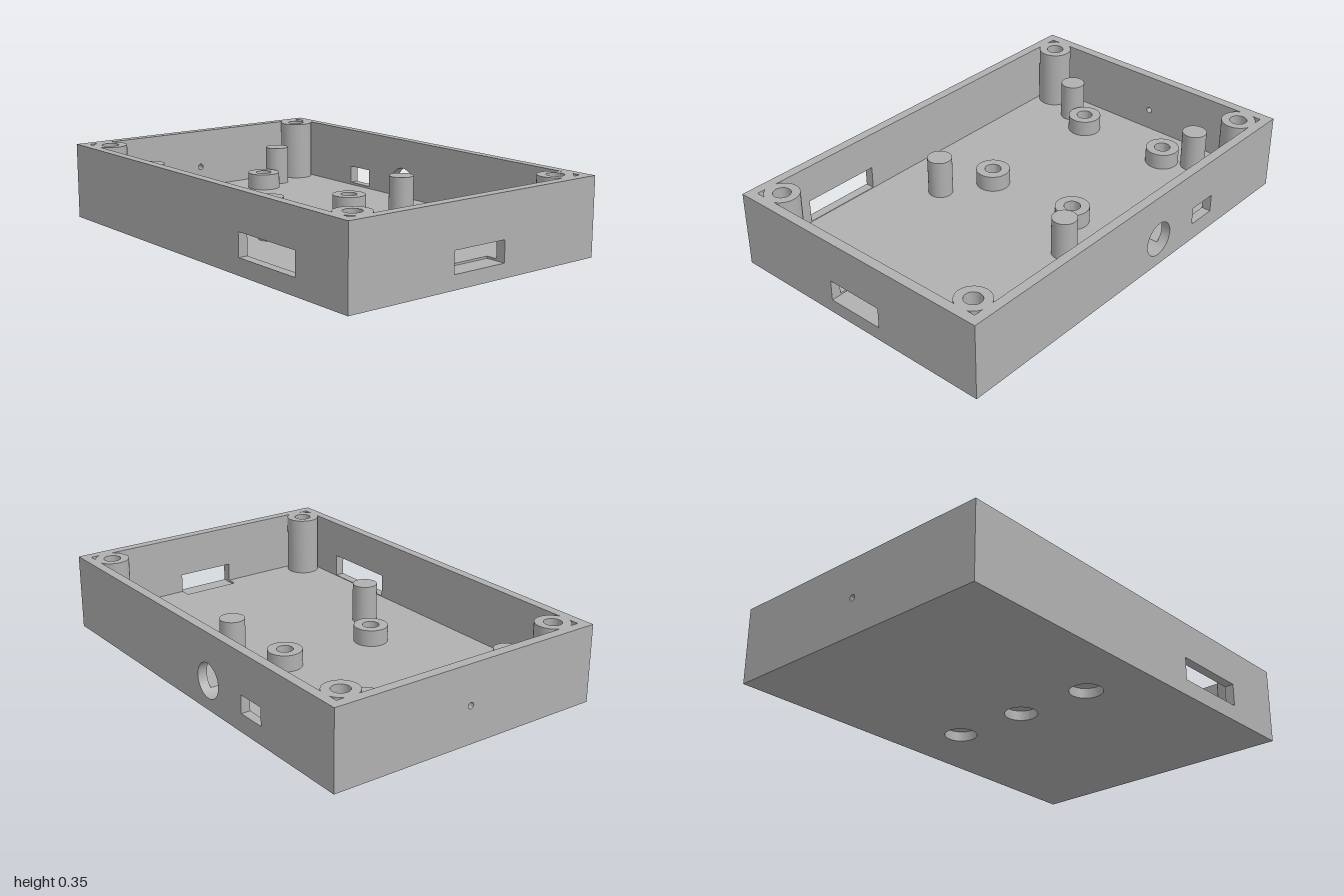
import * as THREE from 'three';
import { toCreasedNormals } from 'three/addons/utils/BufferGeometryUtils.js';

const W = 1, D = 0.66, H = 0.35;      // half width, half depth, height
const IX = 0.955, IZ = 0.617;         // inner cavity half sizes
const BASE = 0.045, FLOOR = 0.072;    // pocket depth, floor top

export function createModel() {
  const model = new THREE.Group();
  model.name = 'enclosureTray';
  const grey = new THREE.MeshStandardMaterial({ color: 0xb0b0b0 });
  grey.name = 'grey plastic';

  const add = (name, geometry) => {
    const mesh = new THREE.Mesh(geometry, grey);
    mesh.name = name;
    model.add(mesh);
    return mesh;
  };
  const trace = (path, pts) => {
    pts.forEach(([x, y], i) => (i ? path.lineTo(x, y) : path.moveTo(x, y)));
    path.closePath();
    return path;
  };
  const box = (x0, y0, x1, y1) => [[x0, y0], [x1, y0], [x1, y1], [x0, y1]];
  const rect = (...b) => trace(new THREE.Shape(), box(...b));
  const rectHole = (...b) => trace(new THREE.Path(), box(...b));
  const roundHole = (x, y, r) => new THREE.Path().absarc(x, y, r, 0, Math.PI * 2, true);
  const extrude = (shape, depth) => toCreasedNormals(
    new THREE.ExtrudeGeometry(shape, { depth, bevelEnabled: false, curveSegments: 24 }), 0.6);

  // Slabs: shape drawn in x-y, z-y or x-z and thickened along the remaining axis
  const slabZ = (name, shape, z0, z1) => add(name, extrude(shape, z1 - z0).translate(0, 0, z0));
  const slabX = (name, shape, x0, x1) =>
    add(name, extrude(shape, x1 - x0).rotateY(-Math.PI / 2).translate(x1, 0, 0));
  const slabY = (name, shape, y0, y1) =>
    add(name, extrude(shape, y1 - y0).rotateX(Math.PI / 2).translate(0, y1, 0));

  // Bottom plate with three blind round pockets underneath
  const plate = rect(-W, -D, W, D);
  for (const z of [-0.365, 0, 0.365]) plate.holes.push(roundHole(0, z, 0.073));
  slabY('pocketedBase', plate, 0, BASE);

  // Inner floor, leaving room for the two notched strips
  const stripX = 0.905, stripZ = -0.572;
  slabY('floor', rect(-IX, stripZ, stripX, IZ), BASE, FLOOR);

  // Floor strip by the back wall, bitten by the round port
  const port = { x: -0.137, y: 0.133, r: 0.079 };
  const half = Math.acos((port.y - FLOOR) / port.r);
  const backStrip = new THREE.Shape();
  backStrip.moveTo(-IX, BASE);
  backStrip.lineTo(IX, BASE);
  backStrip.lineTo(IX, FLOOR);
  backStrip.absarc(port.x, port.y, port.r, -Math.PI / 2 + half, -Math.PI / 2 - half, true);
  backStrip.lineTo(-IX, FLOOR);
  backStrip.closePath();
  slabZ('backFloorStrip', backStrip, -IZ, stripZ);

  // Floor strip by the left wall, notched by its rectangular port
  const sill = 0.063, portZ = 0.136;
  slabX('leftFloorStrip', trace(new THREE.Shape(), [
    [stripZ, BASE], [IZ, BASE], [IZ, FLOOR], [portZ, FLOOR], [portZ, sill],
    [-portZ, sill], [-portZ, FLOOR], [stripZ, FLOOR],
  ]), stripX, IX);

  // Four walls with their ports
  const front = rect(-W, BASE, W, H);
  front.holes.push(rectHole(0.32, 0.075, 0.69, 0.18));
  slabZ('frontWall', front, IZ, D);

  const back = rect(-W, BASE, W, H);
  back.holes.push(roundHole(port.x, port.y, port.r), rectHole(-0.525, 0.083, -0.385, 0.165));
  slabZ('backWall', back, -D, -IZ);

  const left = rect(-IZ, BASE, IZ, H);
  left.holes.push(rectHole(-portZ, sill, portZ, 0.158));
  slabX('leftWall', left, IX, W);

  const right = rect(-IZ, BASE, IZ, H);
  right.holes.push(roundHole(0, 0.17, 0.014));
  slabX('rightWall', right, -W, -IX);

  // Round bosses with a blind screw hole
  const boss = (name, x, z, r, hole, top, holeBottom) => {
    const profile = [[r, FLOOR], [r, top], [hole, top], [hole, holeBottom], [0, holeBottom]]
      .map(([a, b]) => new THREE.Vector2(a, b));
    add(name, toCreasedNormals(new THREE.LatheGeometry(profile, 40), 0.6)).position.set(x, 0, z);
  };

  for (const s of [-1, 1]) {
    for (const x of [-0.885, 0.885]) boss('cornerBoss', x, s * 0.545, 0.077, 0.039, H, 0.12);
    for (const x of [-0.745, -0.077]) boss('standoff', x, s * 0.235, 0.077, 0.037, 0.147, FLOOR + 0.002);
    // Plain support posts
    for (const x of [-0.81, 0.135]) {
      const height = 0.252 - FLOOR;
      add('supportPost', new THREE.CylinderGeometry(0.056, 0.056, height, 40))
        .position.set(x, FLOOR + height / 2, s * 0.365);
    }
  }
  return model;
}
